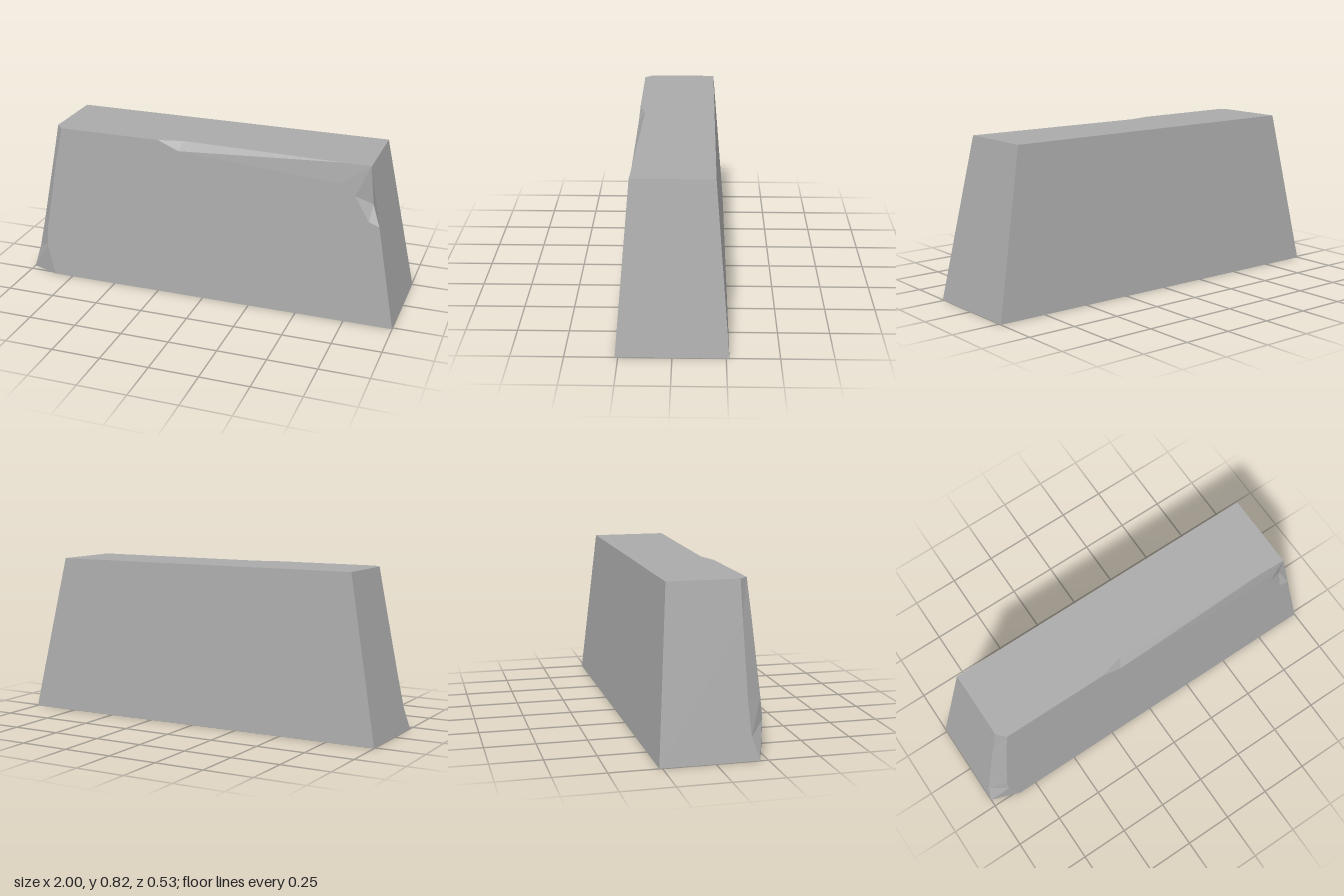
import * as THREE from 'three';

const H = 0.82;
const frontZ = (y) => 0.265 - 0.083 * y; // sloping front and back planes
const sideX = (y) => 1 - 0.195 * y; // sloping end planes

export function createModel() {
  const group = new THREE.Group();
  group.name = 'chippedBlock';
  const stone = new THREE.MeshStandardMaterial({ color: 0xaaaaaa, flatShading: true, side: THREE.DoubleSide });
  stone.name = 'grey stone';

  const add = (name, geometry) => {
    geometry.computeVertexNormals();
    const mesh = new THREE.Mesh(geometry, stone);
    mesh.name = name;
    group.add(mesh);
  };

  // Flat outline laid onto one of the block's planes
  const panel = (name, outline, place) => {
    const g = new THREE.ShapeGeometry(new THREE.Shape(outline.map(([u, v]) => new THREE.Vector2(u, v))));
    const p = g.attributes.position;
    for (let i = 0; i < p.count; i++) p.setXYZ(i, ...place(p.getX(i), p.getY(i)));
    add(name, g);
  };

  // Surface between two edges with the same number of points
  const strip = (name, a, b) => {
    const pos = [];
    for (let i = 0; i < a.length - 1; i++) {
      pos.push(...a[i], ...a[i + 1], ...b[i + 1], ...a[i], ...b[i + 1], ...b[i]);
    }
    const g = new THREE.BufferGeometry();
    g.setAttribute('position', new THREE.Float32BufferAttribute(pos, 3));
    add(name, g);
  };

  const onFront = (x, y) => [x, y, frontZ(y)];
  const onRightEnd = (z, y) => [-sideX(y), y, z];

  // Edges of the chips, as drawn on the front, the end and the top
  const cornerFront = [[-0.85, 0], [-0.895, 0.165], [-0.89, 0.27], [-0.835, 0.63], [-0.8, H]];
  const cornerEnd = [[0.21, 0], [0.175, 0.11], [0.165, 0.27], [0.157, 0.63], [0.155, H]];
  const rimFront = [[-0.26, H], [-0.15, 0.775], [0.69, 0.715], [0.84, H]];
  const rimTop = [[-0.26, 0.197], [-0.13, 0.167], [0.7, 0.192], [0.84, 0.197]];
  const notch = [[0.84, H], [0.77, 0.66], [0.845, 0.54], [0.8986, 0.52]];

  // Block faces, open underneath
  panel('frontFace', [
    ...cornerFront, ...rimFront, ...notch.slice(1), [1, 0],
  ], onFront);
  panel('backFace', [[-1, 0], [1, 0], [0.84, H], [-0.84, H]], (u, y) => [-u, y, -frontZ(y)]);
  panel('leftEnd', [[-0.265, 0], [0.265, 0], [0.197, H], [-0.197, H]], (u, y) => [sideX(y), y, -u]);
  panel('rightEnd', [[-0.265, 0], ...cornerEnd, [-0.197, H]], onRightEnd);
  panel('topFace', [
    [-0.84, -0.197], [0.84, -0.197], ...[...rimTop].reverse(), [-0.8, 0.197], [-0.84, 0.155],
  ].map(([x, z]) => [x, -z]), (x, v) => [x, H, -v]);

  // Broken surfaces
  strip('cornerChip', cornerEnd.map((p) => onRightEnd(...p)), cornerFront.map((p) => onFront(...p)));
  strip('topEdgeChip', rimFront.map((p) => onFront(...p)), rimTop.map(([x, z]) => [x, H, z]));
  const rim = [...notch, notch[0]].map((p) => onFront(...p));
  strip('edgeNotch', rim, rim.map(() => [0.855, 0.62, 0.18]));

  return group;
}
